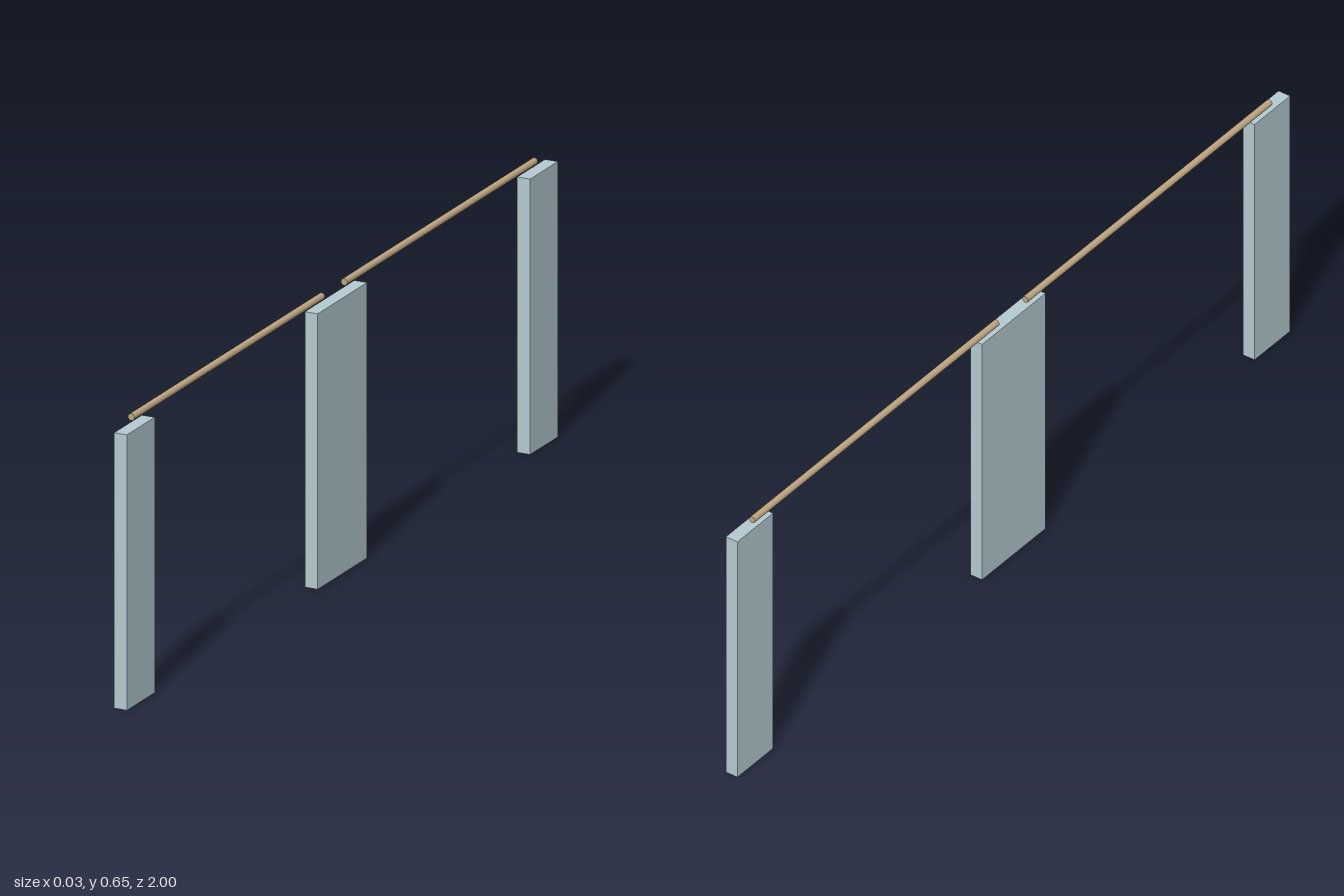
import * as THREE from 'three';

export function createModel() {
  const model = new THREE.Group();
  const panelMaterial = new THREE.MeshStandardMaterial({ color: 0xb3cad1 });
  const rodMaterial = new THREE.MeshStandardMaterial({ color: 0xc0a580 });

  const height = 0.624, thickness = 0.031;

  // Upright wall panel spanning z0..z1
  function addPanel(name, z0, z1) {
    const panel = new THREE.Mesh(new THREE.BoxGeometry(thickness, height, z1 - z0), panelMaterial);
    panel.position.set(0, height / 2, (z0 + z1) / 2);
    panel.name = name;
    model.add(panel);
  }

  // Round rail just above the panels, set to the right of their centre line
  function addRail(name, z0, z1) {
    const geometry = new THREE.CylinderGeometry(0.0078, 0.0078, z1 - z0, 32).rotateX(Math.PI / 2);
    const rail = new THREE.Mesh(geometry, rodMaterial);
    rail.position.set(-0.0075, 0.641, (z0 + z1) / 2);
    rail.name = name;
    model.add(rail);
  }

  addPanel('backPanel', -1, -0.871);
  addPanel('middlePanel', -0.115, 0.115);
  addPanel('frontPanel', 0.871, 1);

  addRail('backRail', -0.936, -0.052);
  addRail('frontRail', 0.052, 0.936);

  return model;
}
